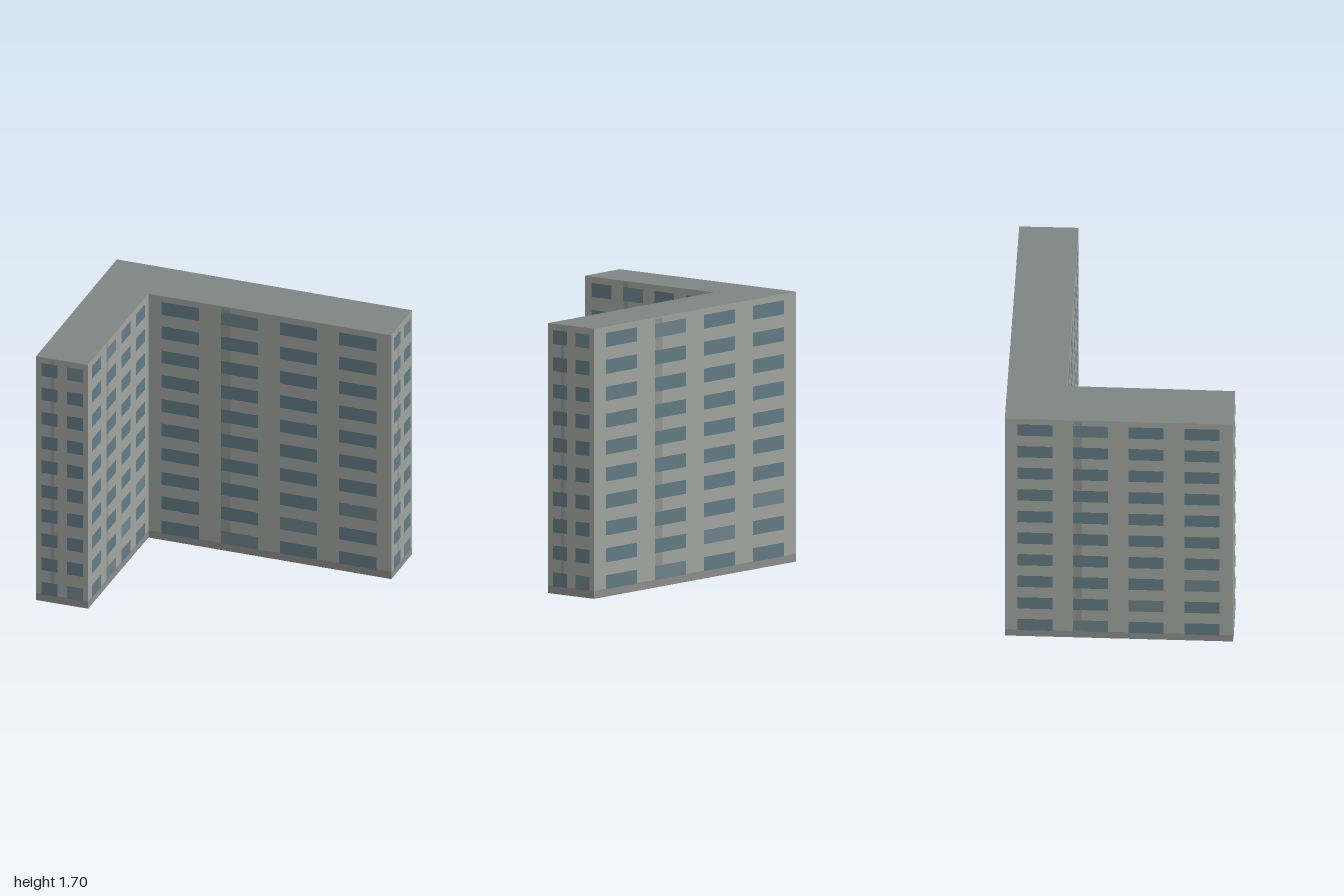
import * as THREE from 'three';
import { mergeGeometries } from 'three/addons/utils/BufferGeometryUtils.js';

const HEIGHT = 1.7, FLOORS = 10, PITCH = 0.1695;

// L-shaped footprint [x, z], each wall running left to right as seen from outside
const FOOTPRINT = [
  [-0.58, -0.2], [1, -0.54], [0.92, -0.9], [-1, -0.49], [-0.7, 0.9], [-0.365, 0.825],
];
const WALLS = [
  { name: 'longInnerWall', columns: 4 },
  { name: 'longEndWall', columns: 2 },
  { name: 'longBackWall', columns: 4 },
  { name: 'shortOuterWall', columns: 4 },
  { name: 'shortEndWall', columns: 2 },
  { name: 'shortInnerWall', columns: 4 },
];
// Panes that are a little lighter: "floor,column"
const LIGHT_PANES = new Set(['0,1', '1,2', '2,3', '9,1']);

const paint = (color, side = THREE.FrontSide) =>
  new THREE.MeshStandardMaterial({ color, side });
const materials = {
  wall: paint(0xa0a49e, THREE.DoubleSide),
  roof: paint(0x7d8582, THREE.DoubleSide),
  base: paint(0x8d8f8b),
  stripe: paint(0x909490),
  window: paint(0x637a84),
  lightWindow: paint(0x6d838a),
};

// Upright rectangle given by its left, bottom, width, height and distance from the wall
function panel(x, y, w, h, out = 0) {
  return new THREE.PlaneGeometry(w, h).translate(x + w / 2, y + h / 2, out);
}

function addMesh(group, name, geometry, material) {
  const mesh = new THREE.Mesh(geometry, material);
  mesh.name = name;
  group.add(mesh);
}

function makeWall({ name, columns }, [ax, az], [bx, bz]) {
  const group = new THREE.Group();
  group.name = name;
  const length = Math.hypot(bx - ax, bz - az);
  addMesh(group, 'wallFace', panel(0, 0, length, HEIGHT), materials.wall);
  addMesh(group, 'baseBand', panel(0, 0, length, 0.05, 0.002), materials.base);

  // Weathered vertical stripe behind the windows
  const [s0, s1] = columns === 4 ? [0.3, 0.338] : [0.28, 0.36];
  addMesh(group, 'stripe',
    panel(s0 * length, 0.12, (s1 - s0) * length, HEIGHT - 0.13, 0.002), materials.stripe);

  // Window grid
  const start = 0.224 / columns, step = 0.974 / columns, width = 0.612 / columns;
  const dark = [], light = [];
  for (let floor = 0; floor < FLOORS; floor++) {
    for (let col = 0; col < columns; col++) {
      const list = LIGHT_PANES.has(`${floor},${col}`) ? light : dark;
      list.push(panel((start + col * step) * length, 0.047 + floor * PITCH,
        width * length, 0.088, 0.004));
    }
  }
  addMesh(group, 'windows', mergeGeometries(dark), materials.window);
  addMesh(group, 'lightWindows', mergeGeometries(light), materials.lightWindow);

  group.position.set(ax, 0, az);
  group.rotation.y = Math.atan2(az - bz, bx - ax);
  return group;
}

export function createModel() {
  const building = new THREE.Group();
  building.name = 'apartmentBlock';

  WALLS.forEach((wall, i) => {
    building.add(makeWall(wall, FOOTPRINT[i], FOOTPRINT[(i + 1) % FOOTPRINT.length]));
  });

  // Flat roof; the underside stays open
  const outline = new THREE.Shape(FOOTPRINT.map(([x, z]) => new THREE.Vector2(x, -z)));
  const roof = new THREE.ShapeGeometry(outline).rotateX(-Math.PI / 2).translate(0, HEIGHT, 0);
  addMesh(building, 'roof', roof, materials.roof);
  return building;
}
